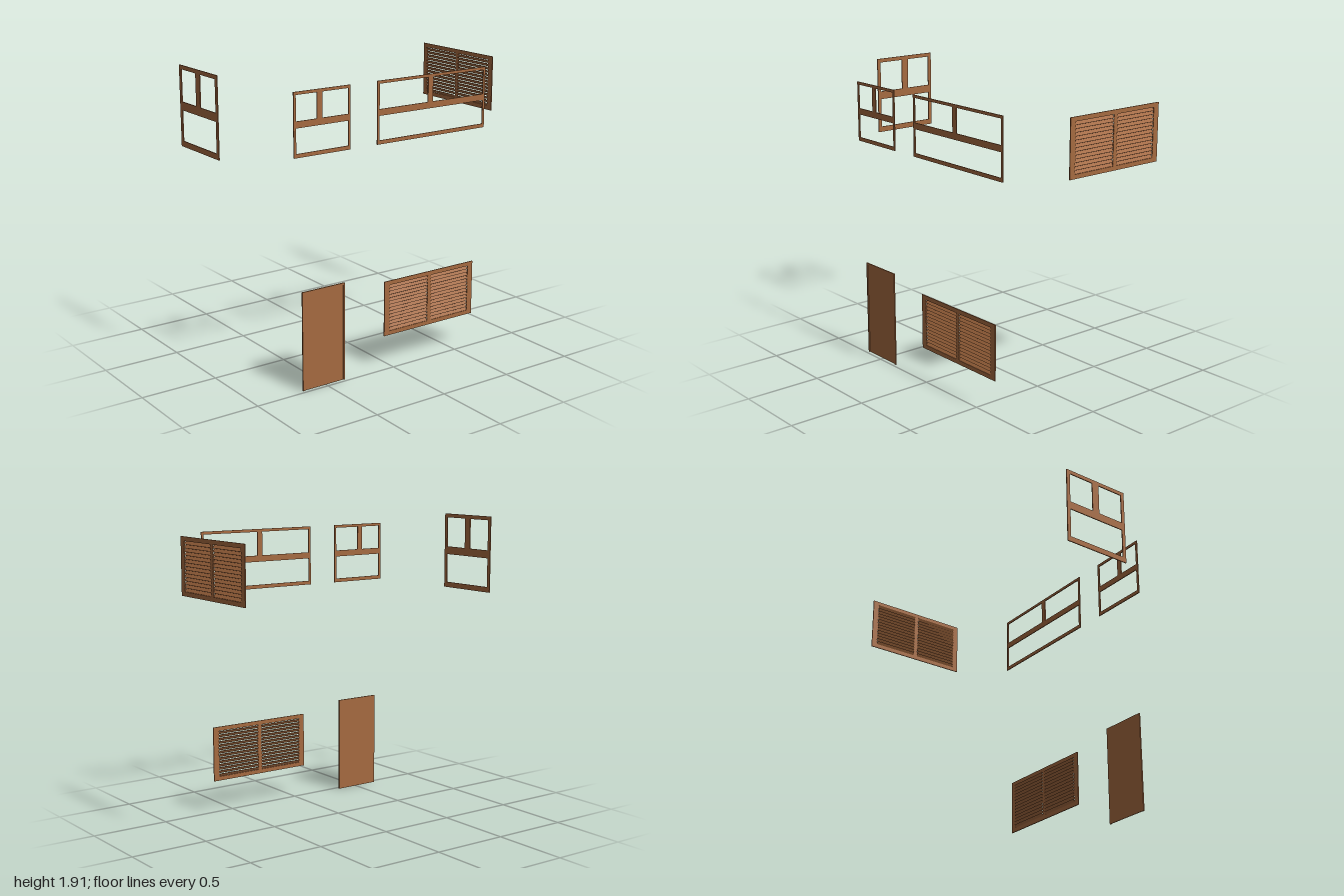
import * as THREE from 'three';

const DEPTH = 0.006;

// Rectangle path given by its left, bottom, right and top edges
function rect(Type, l, b, r, t) {
  const p = new Type();
  p.moveTo(l, b);
  p.lineTo(r, b);
  p.lineTo(r, t);
  p.lineTo(l, t);
  p.closePath();
  return p;
}

// Flat board with rectangular openings; its front face lies on z = 0
function board(w, h, openings) {
  const shape = rect(THREE.Shape, -w / 2, 0, w / 2, h);
  openings.forEach((o) => shape.holes.push(rect(THREE.Path, ...o)));
  const geo = new THREE.ExtrudeGeometry(shape, { depth: DEPTH, bevelEnabled: false });
  return geo.translate(0, 0, -DEPTH);
}

export function createModel() {
  const model = new THREE.Group();
  const wood = new THREE.MeshStandardMaterial({ color: 0xa56a40 });
  wood.name = 'brown wood';

  const part = (parent, name, geo, x = 0, y = 0, z = 0) => {
    const m = new THREE.Mesh(geo, wood);
    m.name = name;
    m.position.set(x, y, z);
    parent.add(m);
    return m;
  };

  const place = (name, x, y, z, turn = 0) => {
    const g = new THREE.Group();
    g.name = name;
    g.position.set(x, y, z);
    g.rotation.y = turn;
    model.add(g);
    return g;
  };

  // Window: outer frame, crossbar, and a mullion above the crossbar
  function windowFrame(group, { w, h, side, top, bottom, bar, mullion }) {
    const x = w / 2 - side;
    part(group, 'windowFrame', board(w, h, [
      [-x, bottom, x, bar[0]],
      [-x, bar[1], mullion[0], h - top],
      [mullion[1], bar[1], x, h - top],
    ]));
  }

  // Louvred shutter: framed board with two banks of tilted slats
  function shutter(group) {
    const w = 0.71, h = 0.358, edge = 0.04, rail = 0.027, stile = 0.014;
    const x = w / 2 - edge;
    part(group, 'shutterFrame', board(w, h, [
      [-x, rail, -stile, h - rail],
      [stile, rail, x, h - rail],
    ]));
    const count = 14, pitch = (h - 2 * rail) / count;
    const slat = new THREE.BoxGeometry(x - stile, 0.0225, 0.0025);
    // Lower edge leans forward, upper edge back
    slat.rotateX(-0.56);
    for (const s of [-1, 1]) {
      for (let i = 0; i < count; i++) {
        part(group, 'slat', slat, s * (x + stile) / 2, rail + (i + 0.5) * pitch, -0.0068);
      }
    }
  }

  // Front windows
  const frontTrim = { h: 0.385, side: 0.016, top: 0.018, bottom: 0.024, bar: [0.174, 0.214] };
  windowFrame(place('smallFrontWindow', -0.516, 1.449, 0.48),
    { ...frontTrim, w: 0.396, mullion: [-0.037, 0] });
  windowFrame(place('wideFrontWindow', 0.2955, 1.449, 0.48),
    { ...frontTrim, w: 0.837, mullion: [-0.036, 0.002] });

  // Side window, facing the model's right
  windowFrame(place('sideWindow', -1, 1.407, -0.1035, -Math.PI / 2), {
    w: 0.449, h: 0.499, side: 0.024, top: 0.025, bottom: 0.035,
    bar: [0.225, 0.277], mullion: [-0.027, 0.023],
  });

  // Shutters, one at the front and one facing the model's left
  shutter(place('frontShutter', 0.2955, 0.214, 0.48));
  shutter(place('sideShutter', 1, 1.478, -0.125, Math.PI / 2));

  // Door: slim casing around a slightly recessed panel
  const door = place('door', -0.5125, 0, 0.48);
  const dw = 0.309, dh = 0.63, jamb = 0.012;
  part(door, 'doorPanel', new THREE.BoxGeometry(dw - 0.004, dh - 0.004, 0.004), 0, dh / 2 - 0.002, -0.006);
  for (const s of [-1, 1]) {
    part(door, 'doorJamb', new THREE.BoxGeometry(jamb, dh, 0.008), s * (dw - jamb) / 2, dh / 2, -0.004);
  }
  part(door, 'doorHeader', new THREE.BoxGeometry(dw - 2 * jamb, jamb, 0.008), 0, dh - jamb / 2, -0.004);

  return model;
}
